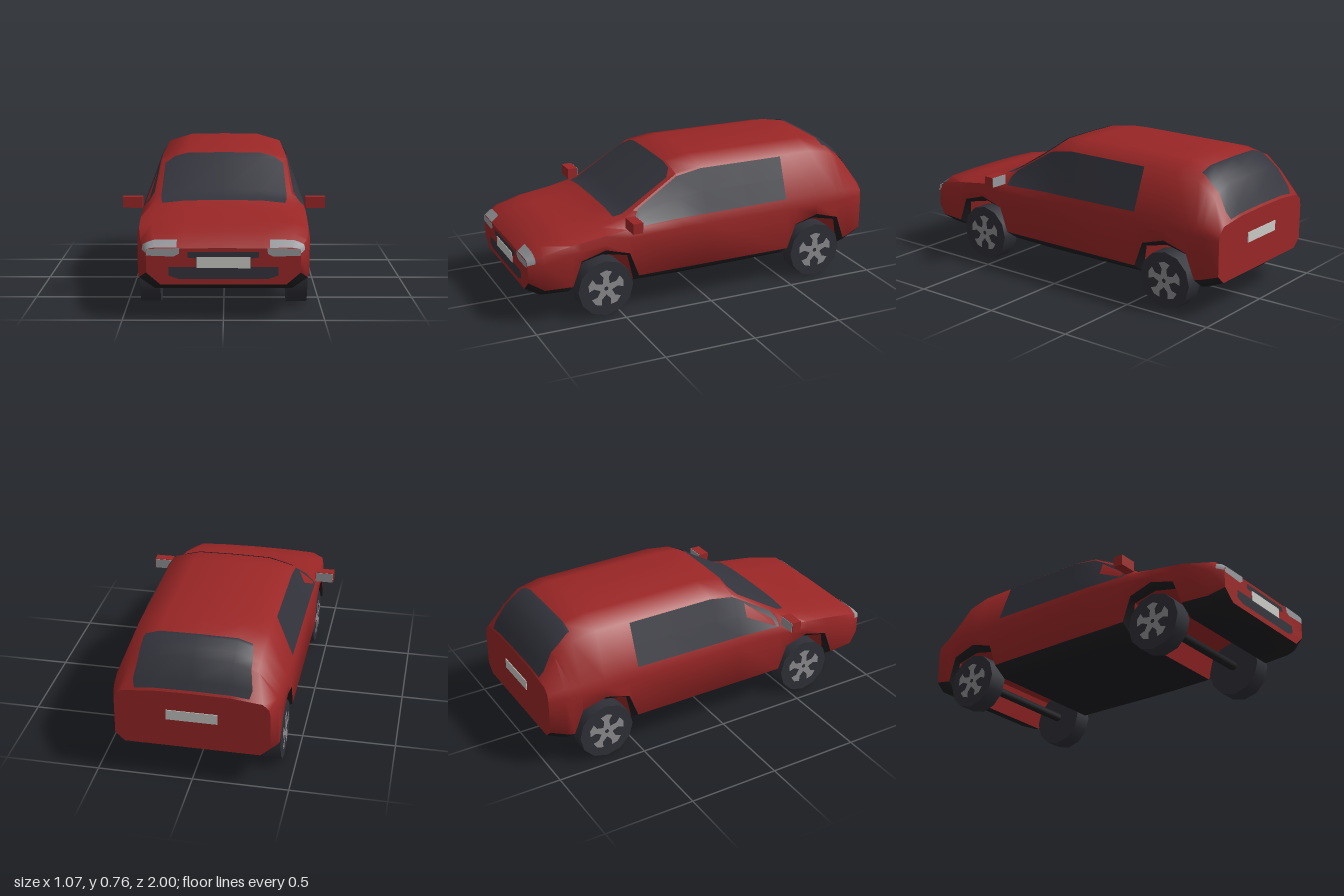
import * as THREE from 'three';
import { toCreasedNormals } from 'three/addons/utils/BufferGeometryUtils.js';

const mat = (name, color) => Object.assign(new THREE.MeshStandardMaterial({ color }), { name });

const NOSE = 0.995;
const AXLES = [0.585, -0.685];
const WHEEL_R = 0.155;
const ARCH = 0.185; // half length of a wheel arch

// Upper body, front to back: z, half width, waist y, window base y, roof edge x, roof edge y, top y
const UPPER = [
  [NOSE, 0.38, 0.32, 0.355, 0.34, 0.36, 0.362],
  [0.92, 0.42, 0.34, 0.39, 0.35, 0.42, 0.43],
  [0.77, 0.437, 0.38, 0.425, 0.36, 0.447, 0.46],
  [0.585, 0.44, 0.405, 0.45, 0.36, 0.475, 0.487],
  [0.45, 0.44, 0.42, 0.465, 0.365, 0.51, 0.535],
  [0.14, 0.44, 0.43, 0.47, 0.34, 0.7, 0.74],
  [0, 0.44, 0.43, 0.47, 0.34, 0.72, 0.76],
  [-0.685, 0.44, 0.43, 0.478, 0.337, 0.717, 0.76],
  [-0.82, 0.437, 0.43, 0.48, 0.33, 0.69, 0.735],
  [-0.91, 0.425, 0.43, 0.478, 0.323, 0.62, 0.667],
  [-NOSE, 0.4, 0.42, 0.46, 0.36, 0.49, 0.51],
];

// Lower body: z, floor x, floor y, sill y; each wheel arch lifts the floor in five steps
const arch = (z) => [-ARCH, -0.135, 0, 0.135, ARCH].map((d) => {
  if (d === 0) return [z, 0.4, 0.34, 0.375];
  return Math.abs(d) < ARCH ? [z + d, 0.4, 0.31, 0.335] : [z + d, 0.36, 0.145, 0.2];
});
const LOWER = [[NOSE, 0.31, 0.18, 0.24], [0.92, 0.34, 0.145, 0.2], ...AXLES.flatMap(arch),
  [0.14, 0.36, 0.14, 0.2], [0, 0.36, 0.14, 0.2], [-0.91, 0.36, 0.155, 0.21],
  [-NOSE, 0.35, 0.19, 0.235]].sort((a, b) => b[0] - a[0]);

// Upper body values at depth z, blended between the stations
function upperAt(z) {
  const i = Math.max(1, UPPER.findIndex((row) => row[0] <= z + 1e-6));
  const [a, b] = [UPPER[i - 1], UPPER[i]];
  return a.map((v, k) => THREE.MathUtils.lerp(v, b[k], (a[0] - z) / (a[0] - b[0])));
}

// Closed cross-section: s = 0 floor centre, 7 roof centre, 14 back at the floor
const RINGS = LOWER.map(([z, floorX, floorY, sill]) => {
  const [, w, waist, base, edgeX, edgeY, top] = upperAt(z);
  const half = [[0, floorY], [floorX, floorY], [w, sill], [w, waist], [w - 0.008, base],
    [edgeX, edgeY], [0.2, top - 0.003], [0, top]];
  const all = [...half, ...half.slice(0, 7).reverse().map(([x, y]) => [-x, y])];
  return all.map(([x, y]) => new THREE.Vector3(x, y, z));
});

// Point on the body skin at depth z and section parameter s
function skin(z, s) {
  let i = 0;
  while (i < RINGS.length - 2 && z < RINGS[i + 1][0].z) i++;
  const [z0, z1] = [RINGS[i][0].z, RINGS[i + 1][0].z];
  const j = Math.floor(s);
  const at = (r) => r[j].clone().lerp(r[j + 1], s - j);
  return at(RINGS[i]).lerp(at(RINGS[i + 1]), (z0 - z) / (z0 - z1));
}

// Joins rows of points (front to back) into faces; pick(i, j) chooses the material slot
function loft(rows, pick = () => 0) {
  const n = rows[0].length;
  const slots = [[], []];
  for (let i = 0; i < rows.length - 1; i++) {
    for (let j = 0; j < n - 1; j++) {
      const a = i * n + j, b = a + 1, c = a + n, d = c + 1;
      slots[pick(i, j)].push(a, c, b, b, c, d);
    }
  }
  const g = new THREE.BufferGeometry().setFromPoints(rows.flat());
  g.setIndex(slots.flat());
  g.addGroup(0, slots[0].length, 0);
  if (slots[1].length) g.addGroup(slots[0].length, slots[1].length, 1);
  return toCreasedNormals(g, 1.0);
}

// Thin pane that follows the skin, lifted slightly; rows are [z, ...s values]
function pane(rows) {
  const e = 0.004;
  return loft(rows.map(([z, ...ss]) => ss.map((s) => {
    const ds = skin(z, s + e).sub(skin(z, s - e));
    const dz = skin(z - e, s).sub(skin(z + e, s));
    return skin(z, s).addScaledVector(dz.cross(ds).normalize(), 0.005);
  })));
}
const mirrorRows = (rows) => rows.map(([z, ...ss]) => [z, ...ss.map((s) => 14 - s).reverse()]);
const across = ([z, s]) => [z, s, 6, 7, 8, 14 - s];

const shapeOf = (pts) => new THREE.Shape(pts.map(([x, y]) => new THREE.Vector2(x, y)));
const flat = (pts) => new THREE.ShapeGeometry(shapeOf(pts));

export function createModel() {
  const paint = mat('red paint', 0x9a2626);
  const trim = mat('black trim', 0x1e1e21);
  const glass = mat('dark glass', 0x33343c);
  const tyre = mat('tyre rubber', 0x2f3037);
  const lamp = mat('lamp grey', 0x97989c);
  const alloy = mat('alloy grey', 0x8c8c8f);
  const plateMat = mat('plate white', 0xcacac6);
  glass.side = lamp.side = THREE.DoubleSide;

  const model = new THREE.Group();
  model.name = 'car';
  const add = (name, geo, material, parent = model) => {
    const m = new THREE.Mesh(geo, material);
    m.name = name;
    parent.add(m);
    return m;
  };

  // Body shell with dark floor and sills, painted wheel wells
  const inArch = (i) => {
    const mid = (RINGS[i][0].z + RINGS[i + 1][0].z) / 2;
    return AXLES.some((z) => Math.abs(mid - z) < ARCH);
  };
  const pick = (i, j) => {
    if (j === 1 || j === 12) return 1;
    return (j === 0 || j === 13) && !inArch(i) ? 1 : 0;
  };
  add('body', loft(RINGS, pick), [paint, trim]);

  // Flat end panels
  const outline = (r) => r.slice(0, 14).map((p) => [p.x, p.y]);
  add('frontPanel', flat(outline(RINGS[0])), paint).position.z = NOSE;
  const rear = add('rearPanel', flat(outline(RINGS.at(-1))), paint);
  rear.rotation.y = Math.PI;
  rear.position.z = -NOSE;

  // Windows
  add('windscreen', pane([[0.495, 5.25], [0.45, 5.2], [0.4, 5.18], [0.185, 5.15],
    [0.15, 5.5]].map(across)), glass);
  add('rearWindow', pane([[-0.8, 5.45], [-0.82, 5.4], [-0.87, 5.32], [-0.91, 5.3],
    [-0.965, 5.3], [-0.988, 5.42]].map(across)), glass);
  const side = [[0.4, 4.6], [0.37, 4.88], [0.14, 4.95], [0, 4.97], [-0.25, 4.97], [-0.49, 4.97]]
    .map(([z, top]) => [z, 4.05, 4.5, top]);
  add('leftSideWindow', pane(side), glass);
  add('rightSideWindow', pane(mirrorRows(side)), glass);

  // Headlights: a wrapped upper part and a front lens
  const lampRows = [0.994, 0.955].map((z) => [z, 3.4, 3.98, 4.5, 5.02, 5.8]);
  add('leftHeadlightTop', pane(lampRows), lamp);
  add('rightHeadlightTop', pane(mirrorRows(lampRows)), lamp);
  const lens = [[0.215, 0.362], [0.218, 0.333], [0.245, 0.32], [0.38, 0.325], [0.376, 0.358]];
  for (const s of [1, -1]) {
    add('headlightLens', flat(lens.map(([x, y]) => [x * s, y])), lamp).position.z = 0.999;
  }

  // Grille and number plates
  const grille = [[0.22, 0.208], [0.27, 0.225], [0.27, 0.268], [0.135, 0.268], [0.135, 0.31],
    [0.175, 0.315], [0.175, 0.342]];
  const grilleLeft = [...grille].reverse().map(([x, y]) => [-x, y]);
  add('grille', flat([...grille, ...grilleLeft]), glass).position.z = 0.998;
  const plateGeo = new THREE.BoxGeometry(0.265, 0.055, 0.004);
  add('frontPlate', plateGeo, plateMat).position.set(0, 0.29, 0.999);
  add('rearPlate', plateGeo, plateMat).position.set(0, 0.375, -0.997);

  // Door mirrors with reflecting rear faces
  const mirrorGeo = new THREE.BoxGeometry(0.105, 0.058, 0.056);
  const mirrorGlassGeo = new THREE.BoxGeometry(0.1, 0.054, 0.004);
  for (const s of [1, -1]) {
    add('doorMirror', mirrorGeo, paint).position.set(0.483 * s, 0.506, 0.442);
    add('mirrorGlass', mirrorGlassGeo, lamp).position.set(0.483 * s, 0.506, 0.413);
  }

  // Five-spoke rim
  const star = [];
  for (let k = 0; k < 5; k++) {
    for (const [r, a] of [[0.034, -36], [0.066, -13], [0.098, -21], [0.104, 0], [0.098, 21], [0.066, 13]]) {
      const t = THREE.MathUtils.degToRad(90 + k * 72 + a);
      star.push([r * Math.cos(t), r * Math.sin(t)]);
    }
  }
  const rimShape = shapeOf(star);
  rimShape.holes.push(new THREE.Path().absarc(0, 0, 0.012, 0, Math.PI * 2, true));
  const rimGeo = new THREE.ShapeGeometry(rimShape, 4);
  const wheelGeo = new THREE.CylinderGeometry(WHEEL_R, WHEEL_R, 0.105, 12).rotateZ(Math.PI / 2);
  const axleGeo = new THREE.CylinderGeometry(0.025, 0.025, 0.66, 8).rotateZ(Math.PI / 2);

  // Wheels and axles
  AXLES.forEach((z, i) => {
    const end = ['front', 'rear'][i];
    add(end + 'Axle', axleGeo, trim).position.set(0, 0.165, z);
    for (const s of [1, -1]) {
      const wheel = new THREE.Group();
      wheel.name = end + (s > 0 ? 'Left' : 'Right') + 'Wheel';
      wheel.position.set(0.377 * s, WHEEL_R, z);
      wheel.rotation.y = s > 0 ? 0 : Math.PI;
      add('tyre', wheelGeo, tyre, wheel);
      const rim = add('rim', rimGeo, alloy, wheel);
      rim.rotation.y = Math.PI / 2;
      rim.position.x = 0.0555;
      model.add(wheel);
    }
  });
  return model;
}
